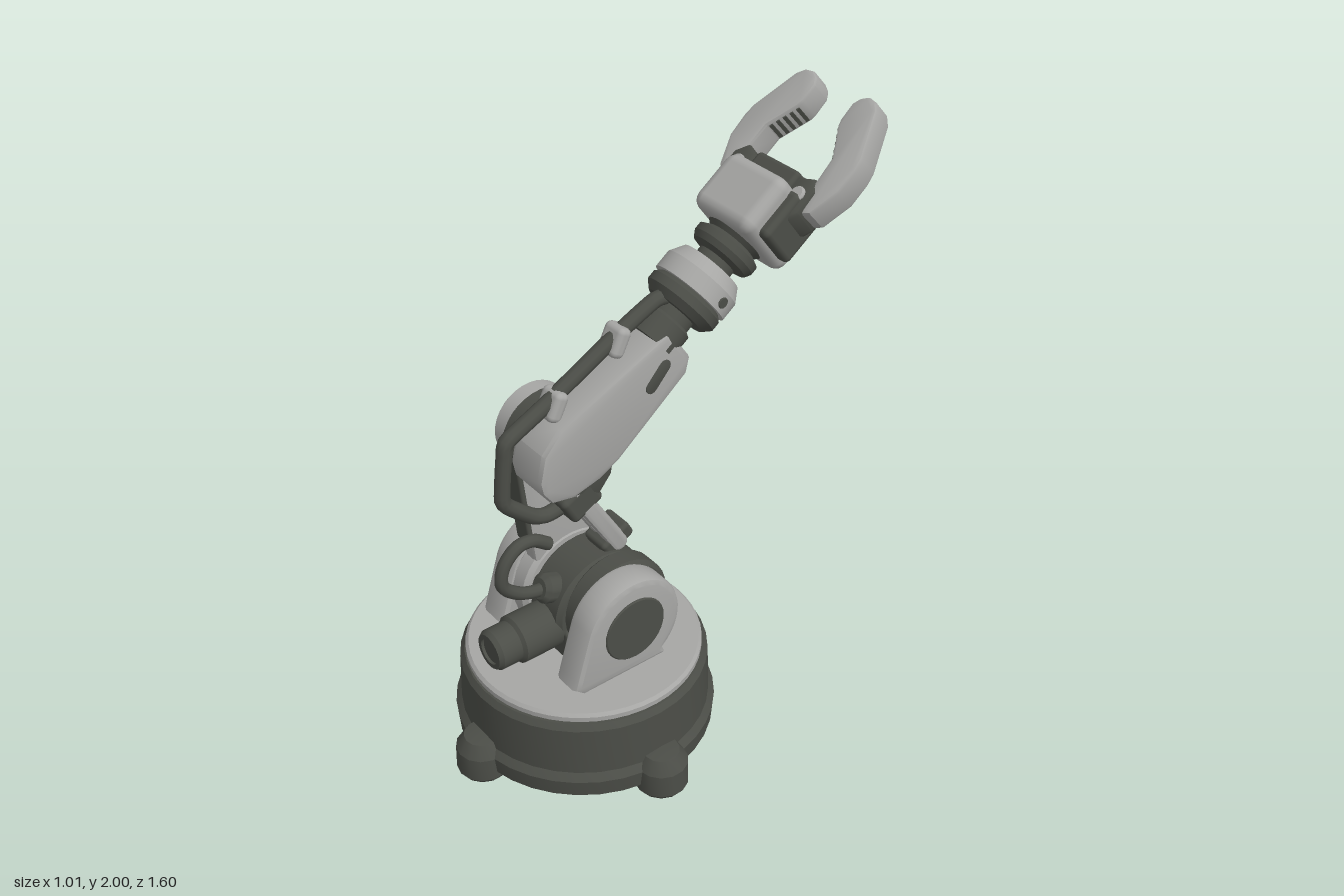
import * as THREE from 'three';
import { toCreasedNormals } from 'three/addons/utils/BufferGeometryUtils.js';
import { RoundedBoxGeometry } from 'three/addons/geometries/RoundedBoxGeometry.js';

const light = new THREE.MeshStandardMaterial({ color: 0xa6a6a4 });
light.name = 'lightGrey';
const dark = new THREE.MeshStandardMaterial({ color: 0x4b4d47 });
dark.name = 'darkGrey';
const CX = -0.02; // the arm's centre line in x

function add(parent, name, geometry, material) {
  const mesh = new THREE.Mesh(geometry, material);
  mesh.name = name;
  parent.add(mesh);
  return mesh;
}

// Turned solid from [radius, height] points, bottom to top
function turned(points, segments = 32) {
  const g = new THREE.LatheGeometry(points.map(([r, h]) => new THREE.Vector2(r, h)), segments);
  return toCreasedNormals(g, 0.5);
}

// Chamfered disc between heights a and b
function disc(a, b, r, c = 0.015, segments = 32) {
  return turned([[0, a], [r - c, a], [r, a + c], [r, b - c], [r - c, b], [0, b]], segments);
}

// Chamfered disc lying along x, centred on (y, z)
function drum(x0, x1, r, y, z, c) {
  return disc(x0, x1, r, c).rotateZ(-Math.PI / 2).translate(0, y, z);
}

// Bevelled plate with an outline of [x, y] points, thick in z
function plate(points, z0, z1, b = 0.015) {
  const shape = new THREE.Shape(points.map(([x, y]) => new THREE.Vector2(x, y)));
  const g = new THREE.ExtrudeGeometry(shape, {
    depth: z1 - z0 - 2 * b, bevelThickness: b, bevelSize: b, bevelOffset: -b, bevelSegments: 2,
  });
  return toCreasedNormals(g.translate(0, 0, z0 + b), 0.6);
}

// Bevelled plate with an outline of [z, y] points, thick in x
function slab(points, x0, x1, b) {
  return plate(points.map(([z, y]) => [-z, y]), x0, x1, b).rotateY(Math.PI / 2);
}

// Outline of a link with a round end at each of two [z, y] points
function link([z1, y1], r1, [z2, y2], r2, n = 14) {
  const dir = Math.atan2(y2 - y1, z2 - z1);
  const pts = [];
  for (let i = 0; i <= n; i++) {
    const a = dir + Math.PI / 2 + Math.PI * i / n;
    pts.push([z1 + r1 * Math.cos(a), y1 + r1 * Math.sin(a)]);
  }
  for (let i = 0; i <= n; i++) {
    const a = dir - Math.PI / 2 + Math.PI * i / n;
    pts.push([z2 + r2 * Math.cos(a), y2 + r2 * Math.sin(a)]);
  }
  return pts;
}

// Hose through [z, y] points in the middle plane
function hose(points, r, tension) {
  const v = points.map(([z, y]) => new THREE.Vector3(CX, y, z));
  return new THREE.TubeGeometry(new THREE.CatmullRomCurve3(v, false, 'catmullrom', tension), 64, r, 10);
}

function box(w, h, d, x, y, z, r = 0.015, tilt = 0) {
  return new RoundedBoxGeometry(w, h, d, 2, r).rotateX(tilt).translate(x, y, z);
}

function buildBase(model) {
  const base = new THREE.Group();
  base.name = 'base';
  base.position.z = 0.29;
  model.add(base);
  add(base, 'baseDrum', turned([[0, 0.02], [0.4, 0.02], [0.43, 0.04], [0.435, 0.1], [0.415, 0.125],
    [0.41, 0.3], [0.395, 0.32], [0, 0.32]], 36), dark);
  add(base, 'turntable', disc(0.315, 0.352, 0.39, 0.01, 48), light);
  for (let i = 0; i < 4; i++) {
    const a = i * Math.PI / 2;
    const foot = add(base, 'foot', turned([[0, 0], [0.08, 0], [0.09, 0.015], [0.088, 0.1], [0.06, 0.145], [0, 0.155]], 14), dark);
    foot.position.set(0.415 * Math.cos(a), 0, 0.415 * Math.sin(a));
  }
}

function buildShoulder(model) {
  const shoulder = new THREE.Group();
  shoulder.name = 'shoulder';
  model.add(shoulder);
  // Side brackets: a round head with a foot sloping to the front
  const outline = [[0.13, 0.345], [0.46, 0.345], [0.495, 0.375], [0.485, 0.41]];
  for (let i = 0; i <= 24; i++) {
    const a = 0.35 + i / 24 * 3.65;
    outline.push([0.26 + 0.185 * Math.cos(a), 0.515 + 0.185 * Math.sin(a)]);
  }
  add(shoulder, 'leftBracket', slab(outline.slice().reverse(), 0.13, 0.24, 0.02), light);
  add(shoulder, 'rightBracket', slab(outline, -0.29, -0.175, 0.02), light);
  add(shoulder, 'leftCap', drum(0.22, 0.246, 0.115, 0.52, 0.26, 0.004), dark);
  add(shoulder, 'rightCap', drum(-0.296, -0.27, 0.115, 0.52, 0.26, 0.004), dark);
  // Joint between the brackets
  add(shoulder, 'armHub', drum(-0.18, -0.1, 0.2, 0.5, 0.25), light);
  add(shoulder, 'jointHousing', drum(-0.105, 0.06, 0.19, 0.49, 0.24), dark);
  add(shoulder, 'jointCollar', drum(0.05, 0.14, 0.18, 0.51, 0.225), dark);
  add(shoulder, 'housingFoot', box(0.2, 0.12, 0.3, CX, 0.4, 0.26), dark);
  // Motor pointing to the front
  const motor = turned([[0, 0.38], [0.082, 0.38], [0.082, 0.55], [0.07, 0.56], [0.07, 0.63],
    [0.06, 0.645], [0.045, 0.645], [0.045, 0.635], [0, 0.635]], 24).rotateX(Math.PI / 2).translate(CX, 0.45, 0);
  add(shoulder, 'motor', motor, dark);
  add(shoulder, 'hoseFitting', disc(0, 0.09, 0.05).rotateX(1.2).translate(CX, 0.575, 0.36), dark);
  add(shoulder, 'shoulderHose', hose([[0.38, 0.6], [0.46, 0.605], [0.53, 0.635], [0.58, 0.69], [0.57, 0.76],
    [0.52, 0.81], [0.46, 0.81], [0.4, 0.77]], 0.022, 0.5), dark);
}

function buildUpperArm(model) {
  const arm = new THREE.Group();
  arm.name = 'upperArm';
  model.add(arm);
  add(arm, 'upperArmBeam', slab(link([0.26, 0.52], 0.12, [0.32, 1.08], 0.125), -0.17, -0.105), light);
  add(arm, 'beamCover', box(0.075, 0.38, 0.02, -0.138, 0.9, 0.428, 0.008, 0.11), dark);
  add(arm, 'elbowHub', drum(-0.175, -0.09, 0.152, 1.09, 0.31), dark);
  add(arm, 'elbowDisc', drum(-0.262, -0.165, 0.135, 1.085, 0.3, 0.022), light);
  add(arm, 'elbowCap', drum(-0.268, -0.25, 0.09, 1.085, 0.3, 0.004), dark);
  // Push rods between the shoulder and the elbow
  for (const x of [CX - 0.035, CX + 0.035]) {
    add(arm, 'pushRod', slab(link([0.16, 0.69], 0.03, [0.31, 0.94], 0.03, 8), x - 0.024, x + 0.024, 0.01), light);
  }
  add(arm, 'upperClevis', box(0.12, 0.11, 0.13, CX, 0.92, 0.3, 0.02, 0.5), dark);
  add(arm, 'clevisMount', slab([[0.36, 0.96], [0.24, 0.92], [0.19, 0.98], [0.165, 1.1], [0.3, 1.15]], CX - 0.06, CX + 0.06), dark);
  add(arm, 'lowerClevis', box(0.11, 0.06, 0.12, CX, 0.7, 0.165, 0.015, 0.5), dark);
  add(arm, 'clevisPost', box(0.09, 0.1, 0.09, CX, 0.65, 0.18), dark);
  add(arm, 'armHose', hose([[-0.06, 1.5], [-0.02, 1.5], [0.11, 1.44], [0.39, 1.29], [0.53, 1.22], [0.545, 1.17], [0.56, 1.02],
    [0.54, 0.98], [0.455, 0.905], [0.4, 0.885], [0.3, 0.9]], 0.026, 0.3), dark);
  for (const [z, y] of [[0.13, 1.42], [0.365, 1.285]]) {
    add(arm, 'hoseClip', box(0.09, 0.1, 0.05, CX, y, z, 0.02, -0.45), light);
  }
}

// Forearm and hand: local y runs along the arm, local z to its upper side
function buildForearm(model) {
  const arm = new THREE.Group();
  arm.name = 'forearm';
  arm.position.set(CX, 1.11, 0.33);
  arm.rotation.x = -0.927;
  model.add(arm);
  add(arm, 'forearmShell', slab([[0.14, 0.03], [0.044, 0.458], [0.02, 0.47], [-0.1, 0.465], [-0.137, 0.42],
    [-0.15, 0.08], [-0.14, 0], [-0.1, -0.1], [-0.04, -0.156], [0.02, -0.155], [0.06, -0.135], [0.12, -0.065]], -0.082, 0.084, 0.02), light);
  for (const s of [-1, 1]) {
    add(arm, 'forearmSlot', slab(link([-0.045, 0.31], 0.022, [-0.03, 0.385], 0.022, 8), s * 0.083 - 0.004, s * 0.083 + 0.004, 0.001), dark);
  }
  // Wrist rings, turned about the arm's axis
  add(arm, 'wristTube', turned([[0, 0.42], [0.085, 0.42], [0.085, 0.5], [0.07, 0.51], [0.07, 0.56], [0, 0.56]]), dark);
  add(arm, 'wristFlange', disc(0.54, 0.62, 0.128, 0.025), dark);
  add(arm, 'wristRing', turned([[0, 0.61], [0.132, 0.61], [0.132, 0.67], [0.105, 0.715], [0, 0.715]]), light);
  for (const s of [-1, 1]) add(arm, 'ringBolt', drum(s * 0.13 - 0.005, s * 0.13 + 0.005, 0.018, 0.64, 0, 0.002), dark);
  add(arm, 'wristNeck', turned([[0, 0.7], [0.065, 0.7], [0.065, 0.745], [0.1, 0.755], [0.112, 0.775], [0.112, 0.8],
    [0.085, 0.815], [0.1, 0.83], [0.1, 0.85], [0, 0.85]]), dark);
  buildHand(arm);
}

function buildHand(arm) {
  const hand = new THREE.Group();
  hand.name = 'hand';
  arm.add(hand);
  add(hand, 'handShell', box(0.265, 0.21, 0.27, 0, 0.935, 0, 0.04), light);
  add(hand, 'handSides', box(0.33, 0.17, 0.17, 0, 0.945, -0.005, 0.02), dark);
  add(hand, 'palm', box(0.19, 0.09, 0.17, 0, 1.05, -0.02), dark);
  for (const s of [-1, 1]) add(hand, 'palmHandlePost', box(0.03, 0.1, 0.03, s * 0.055, 1.07, -0.09, 0.008), dark);
  add(hand, 'palmHandleBar', box(0.14, 0.03, 0.05, 0, 1.11, -0.09, 0.008), dark);

  for (const s of [-1, 1]) {
    const flip = (pts) => pts.map(([x, y]) => [s * x, y]);
    add(hand, 'knuckle', plate(flip([[0.08, 0.98], [0.16, 0.94], [0.185, 0.98], [0.185, 1.06], [0.15, 1.1], [0.1, 1.08]]), -0.06, 0.06), dark);
    add(hand, 'knucklePin', disc(-0.07, 0.07, 0.026, 0.006, 16).rotateX(Math.PI / 2).translate(s * 0.14, 1.03, 0), light);
    // Curved finger with dark teeth on its gripping face
    const finger = new THREE.Group();
    finger.name = s > 0 ? 'leftFinger' : 'rightFinger';
    finger.rotation.x = 0.07;
    hand.add(finger);
    add(finger, 'fingerBody', plate(flip([[0.1, 1.385], [0.125, 1.4], [0.155, 1.395], [0.18, 1.37], [0.245, 1.22], [0.252, 1.18],
      [0.25, 1.1], [0.21, 1.0], [0.18, 0.985], [0.165, 1.02], [0.155, 1.08], [0.15, 1.18], [0.09, 1.28], [0.085, 1.3], [0.085, 1.36]]),
    -0.125, -0.025, 0.012), light);
    for (let i = 0; i < 5; i++) {
      const tooth = new THREE.BoxGeometry(0.012, 0.012, 0.07).rotateZ(s * 0.54);
      add(finger, 'tooth', tooth.translate(s * (0.145 - i * 0.0125), 1.19 + i * 0.021, -0.075), dark);
    }
  }
}

export function createModel() {
  const model = new THREE.Group();
  model.name = 'robotArm';
  buildBase(model);
  buildShoulder(model);
  buildUpperArm(model);
  buildForearm(model);
  return model;
}
